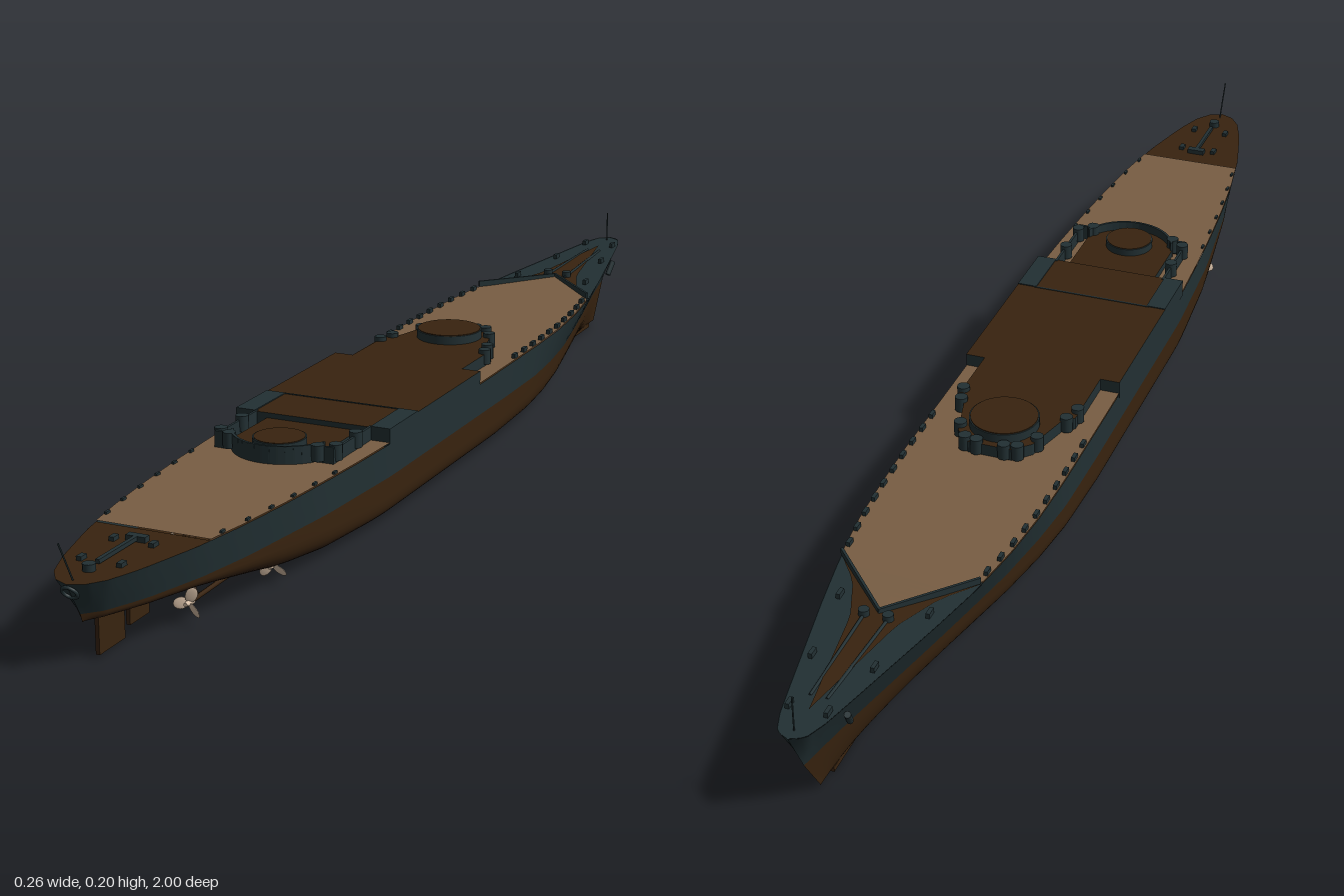
import * as THREE from 'three';

const mat = (name, color) => {
  const m = new THREE.MeshStandardMaterial({ color, side: THREE.DoubleSide });
  m.name = name;
  return m;
};

// Piecewise-linear lookup over [position, value] pairs
const table = (pts) => (z) => {
  if (z <= pts[0][0]) return pts[0][1];
  for (let i = 1; i < pts.length; i++) {
    const [a, va] = pts[i - 1], [b, vb] = pts[i];
    if (z <= b) return va + (vb - va) * (z - a) / (b - a);
  }
  return pts[pts.length - 1][1];
};
const lerp = THREE.MathUtils.lerp;

const BOW = -0.995, STERN = 0.985, WATER = 0.075;
const deckHalf = table([[-0.995, 0], [-0.985, 0.02], [-0.95, 0.032], [-0.9, 0.043], [-0.8, 0.064], [-0.7, 0.085],
  [-0.6, 0.104], [-0.5, 0.118], [-0.4, 0.125], [-0.3, 0.128], [0.3, 0.128], [0.4, 0.124], [0.5, 0.118],
  [0.6, 0.11], [0.7, 0.099], [0.8, 0.083], [0.9, 0.058], [0.95, 0.04], [0.975, 0.022], [0.985, 0]]);
const waterHalf = table([[-0.995, 0], [-0.9, 0.018], [-0.8, 0.04], [-0.7, 0.062], [-0.6, 0.083], [-0.5, 0.103],
  [-0.4, 0.117], [-0.3, 0.126], [-0.15, 0.128], [0.3, 0.128], [0.5, 0.117], [0.7, 0.094], [0.8, 0.076],
  [0.9, 0.048], [0.96, 0.022], [0.985, 0]]);
const sheer = table([[-1, 0.152], [-0.8, 0.143], [-0.6, 0.134], [-0.4, 0.128], [-0.1, 0.126], [1, 0.126]]);
const keelY = table([[-1, 0.005], [0.48, 0.005], [0.6, 0.014], [0.7, 0.034], [0.8, 0.052], [0.985, 0.063]]);
const bilge = table([[-1, 0.95], [-0.75, 0.85], [-0.4, 0.5], [-0.15, 0.36], [0.35, 0.36], [0.65, 0.6], [1, 0.75]]);

// Surface through a grid of points: i runs bow to stern, j runs across
function loft(stations, across, point) {
  const pos = [], idx = [];
  stations.forEach((z, i) => {
    for (let j = 0; j <= across; j++) {
      pos.push(...point(z, j));
      if (i && j) {
        const c = i * (across + 1) + j, b = c - 1, d = c - across - 1, a = d - 1;
        idx.push(a, b, c, a, c, d);
      }
    }
  });
  const g = new THREE.BufferGeometry();
  g.setAttribute('position', new THREE.Float32BufferAttribute(pos, 3));
  g.setIndex(idx);
  g.computeVertexNormals();
  return g;
}
const span = (a, b, n) => Array.from({ length: n + 1 }, (_, i) => lerp(a, b, i / n));

export function createModel() {
  const ship = new THREE.Group();
  ship.name = 'warshipHull';
  const slate = mat('slate grey', 0x223033), brown = mat('dark brown', 0x38230f);
  const tan = mat('deck planking', 0x785d43), cream = mat('propeller cream', 0xd6bea6);

  const add = (name, geo, material, x = 0, y = 0, z = 0) => {
    const m = new THREE.Mesh(geo, material);
    m.name = name;
    m.position.set(x, y, z);
    ship.add(m);
    return m;
  };
  const box = (name, material, w, h, d, x, y, z) => add(name, new THREE.BoxGeometry(w, h, d), material, x, y, z);
  const drum = (name, material, r, h, x, y, z, n = 12) =>
    add(name, new THREE.CylinderGeometry(r, r, h, n), material, x, y, z);
  const rod = (name, material, a, b, r) => {
    const p = new THREE.Vector3(...a), q = new THREE.Vector3(...b), dir = q.clone().sub(p);
    const m = add(name, new THREE.CylinderGeometry(r, r, dir.length(), 8), material);
    m.position.copy(p).add(q).multiplyScalar(0.5);
    m.quaternion.setFromUnitVectors(new THREE.Vector3(0, 1, 0), dir.normalize());
  };

  // Hull, split at the waterline
  const stations = [...span(BOW, -0.95, 6), ...span(-0.92, 0.92, 60), ...span(0.94, STERN, 8)];
  const place = (u, b, s) => lerp(b, s, (u - BOW) / (STERN - BOW));
  add('lowerHull', loft(stations, 28, (u, j) => {
    const a = Math.PI * j / 28, c = Math.cos(a), e = bilge(u);
    const x = waterHalf(u) * Math.sign(c) * Math.abs(c) ** e;
    const y = WATER - (WATER - keelY(u)) * Math.max(0, Math.sin(a)) ** e;
    const g = (WATER - y) / 0.07;
    return [x, y, place(u, lerp(-0.955, -0.91, g), lerp(0.955, 0.93, g))];
  }), brown);
  for (const s of [1, -1]) {
    add(s > 0 ? 'leftUpperHull' : 'rightUpperHull', loft(stations, 4, (u, j) => {
      const f = s > 0 ? 1 - j / 4 : j / 4;
      return [s * lerp(waterHalf(u), deckHalf(u), f), lerp(WATER, sheer(u), f),
        place(u, lerp(-0.955, BOW, f), lerp(0.955, STERN, f))];
    }), slate);
  }
  box('keelStrip', brown, 0.008, 0.008, 1.35, 0, 0.004, -0.2);

  // Weather deck, in colour zones
  const planking = table([[-0.7, 0], [-0.585, 0.107], [-0.58, 1]]);
  const wedge = table([[-0.93, 0], [-0.72, 0.034], [-0.64, 0.065], [-0.585, 0.107]]);
  const deck = (name, material, zs, outer, lift = 0) => add(name, loft(zs, 2, (z, j) =>
    [(j - 1) * Math.min(outer(z), deckHalf(z)), sheer(z) + lift, z]), material);
  deck('foredeck', slate, [...span(BOW, -0.95, 6), ...span(-0.93, -0.58, 14)], deckHalf, -0.001);
  deck('foredeckCentre', brown, span(-0.93, -0.585, 16), wedge, 0.0005);
  deck('plankedDeck', tan, [...span(-0.7, -0.58, 12), ...span(-0.56, 0.77, 40)], planking, 0.002);
  deck('quarterdeck', brown, [...span(0.77, 0.95, 8), ...span(0.955, STERN, 6)], deckHalf);

  // House blocks: plan outline of [x, z] half points, mirrored and raised
  const block = (name, half, y0, y1, caps = brown) => {
    const pts = [...half, ...half.slice().reverse().map(([x, z]) => [-x, z])];
    const g = new THREE.ExtrudeGeometry(new THREE.Shape(pts.map(([x, z]) => new THREE.Vector2(x, -z))),
      { depth: y1 - y0, bevelEnabled: false });
    add(name, g.rotateX(-Math.PI / 2), [caps, slate], 0, y0, 0);
  };
  block('midshipHouse', [[0.1285, -0.04], [0.1285, 0.3]], 0.12, 0.148);
  block('forwardHouse', [[0.035, -0.275], [0.06, -0.25], [0.08, -0.175], [0.097, -0.16], [0.097, -0.03]], 0.12, 0.148);
  block('aftHouse', [[0.076, 0.29], [0.076, 0.41], [0.06, 0.435], [0.035, 0.453], [0.012, 0.458]], 0.12, 0.14);
  box('deckSeam', slate, 0.2, 0.001, 0.003, 0, 0.1485, 0.2);
  drum('forwardBarbette', slate, 0.054, 0.04, 0, 0.142, -0.21, 40);
  drum('forwardBarbetteTop', brown, 0.052, 0.002, 0, 0.1625, -0.21, 40);
  drum('aftBarbette', slate, 0.04, 0.014, 0, 0.145, 0.405, 32);
  drum('aftBarbetteTop', brown, 0.038, 0.002, 0, 0.152, 0.405, 32);

  // Curved bulwark round the aft house
  const rim = span(-1.15, 1.15, 16).map((a) => [0.082 * Math.sin(a), 0.375 + 0.086 * Math.cos(a)]);
  rim.slice(1).forEach(([x, z], i) => {
    const [px, pz] = rim[i];
    const w = box('aftBulwark', slate, Math.hypot(x - px, z - pz) + 0.002, 0.03, 0.004, (x + px) / 2, 0.14, (z + pz) / 2);
    w.rotation.y = -Math.atan2(z - pz, x - px);
  });

  for (const s of [1, -1]) {
    // Side walkways, gun tubs and breakwater
    box('sideTopPlate', slate, 0.032, 0.002, 0.1, s * 0.1125, 0.1485, 0.25);
    box('sideWall', slate, 0.004, 0.026, 0.13, s * 0.095, 0.136, 0.36);
    box('sideWallEnd', slate, 0.024, 0.028, 0.004, s * 0.085, 0.139, 0.423);
    for (const [x, z] of [[0.022, -0.272], [0.042, -0.268], [0.062, -0.235], [0.086, -0.17], [0.094, -0.14],
      [0.072, 0.425], [0.094, 0.41], [0.094, 0.345]])
      drum('gunTub', slate, 0.01, 0.024, s * x, 0.143, z);
    const wall = box('breakwater', slate, 0.004, 0.01, 0.155, s * 0.052, sheer(-0.643) + 0.005, -0.643);
    wall.rotation.y = s * Math.atan2(0.107, 0.115);

    // Deck-edge fittings
    for (const z of span(-0.56, -0.2, 9))
      box('edgeFitting', slate, 0.006, 0.008, 0.014, s * (deckHalf(z) - 0.005), sheer(z) + 0.005, z);
    for (const z of span(0.46, 0.74, 5))
      box('edgeFitting', slate, 0.004, 0.005, 0.01, s * (deckHalf(z) - 0.004), sheer(z) + 0.003, z);

    // Anchor gear on the foredeck, bitts and rails aft
    rod('anchorChain', slate, [s * 0.012, 0.146, -0.9], [s * 0.018, 0.14, -0.7], 0.0025);
    drum('capstan', slate, 0.008, 0.012, s * 0.018, 0.143, -0.71);
    for (const z of [-0.93, -0.82, -0.68]) box('bitts', slate, 0.006, 0.008, 0.016, s * deckHalf(z) * 0.75, sheer(z) + 0.004, z);
    rod('anchor', slate, [s * 0.04, 0.128, -0.9], [s * 0.036, 0.105, -0.885], 0.005);
    for (const z of [0.82, 0.9]) box('sternBitts', slate, 0.008, 0.006, 0.014, s * 0.03, 0.129, z);

    // Propellers, shafts and struts
    for (const [x, y, z, turn, front] of [[0.05, 0.031, 0.767, -0.35, 0.5], [0.08, 0.026, 0.585, 0.1, 0.3]]) {
      const prop = new THREE.Group();
      prop.name = 'propeller';
      prop.position.set(s * x, y, z);
      for (let k = 0; k < 3; k++) {
        const arm = new THREE.Group();
        arm.rotation.z = s * (turn + k * Math.PI * 2 / 3);
        const blade = new THREE.Mesh(new THREE.SphereGeometry(1, 14, 8).scale(0.0085, 0.012, 0.0015), cream);
        blade.name = 'propellerBlade';
        blade.position.y = 0.0125;
        blade.rotation.y = s * 0.5;
        arm.add(blade);
        prop.add(arm);
      }
      const hub = new THREE.Mesh(new THREE.CylinderGeometry(0.003, 0.005, 0.018, 12).rotateX(Math.PI / 2), cream);
      hub.name = 'propellerHub';
      prop.add(hub);
      ship.add(prop);
      rod('propellerShaft', brown, [s * x, y, z], [s * (x - 0.008), y - 0.004, front], 0.0035);
      rod('shaftStrut', brown, [s * x, y, z - 0.025], [s * (x - 0.02), 0.07, z - 0.03], 0.0025);
    }
  }

  // Rudders
  box('mainRudder', brown, 0.006, 0.055, 0.064, 0, 0.0325, 0.885);
  box('rudderStock', brown, 0.005, 0.03, 0.02, 0, 0.055, 0.88);
  box('forwardRudder', brown, 0.006, 0.038, 0.05, 0, 0.037, 0.815);

  // Quarterdeck fittings
  box('craneBase', slate, 0.03, 0.008, 0.012, 0, 0.13, 0.81);
  box('craneArm', slate, 0.006, 0.006, 0.1, 0, 0.131, 0.86);
  drum('sternCapstan', slate, 0.009, 0.01, 0, 0.131, 0.93);
  const ring = add('sternFairlead', new THREE.TorusGeometry(0.011, 0.0025, 8, 24), slate, 0, 0.112, 0.977);
  ring.rotation.x = 0.6;

  // Flagstaffs
  rod('sternStaff', slate, [0, 0.125, 0.968], [0, 0.185, 0.999], 0.0012);
  rod('bowStaff', slate, [0, 0.15, -0.975], [0, 0.204, -0.975], 0.0012);
  return ship;
}
